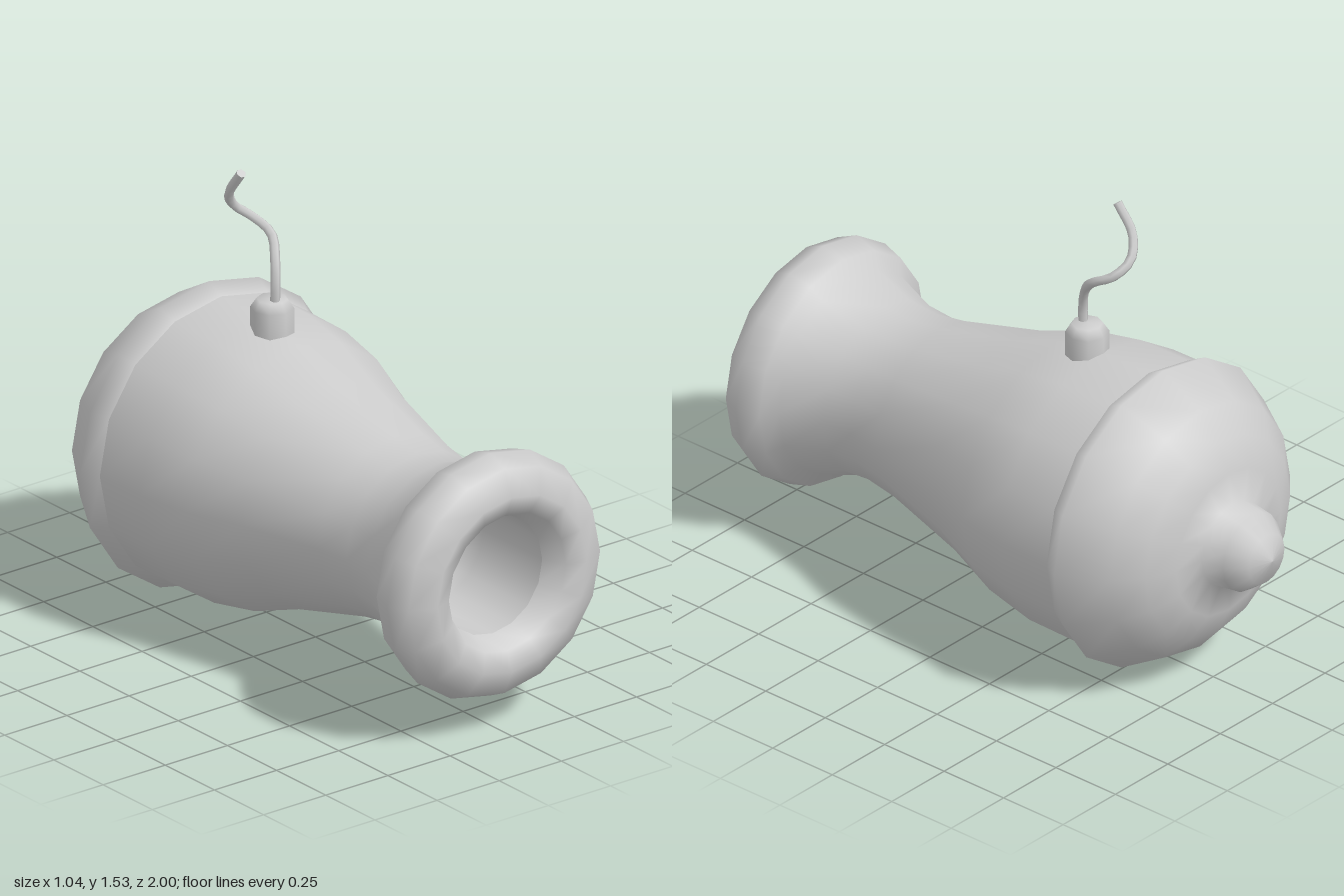
import * as THREE from 'three';

const AXIS_Y = 0.52;
const material = new THREE.MeshStandardMaterial({ color: 0xcccccc });

function addMesh(parent, name, geometry) {
  const mesh = new THREE.Mesh(geometry, material);
  mesh.name = name;
  parent.add(mesh);
  return mesh;
}

// Revolve [radius, z] pairs around the barrel's axis.
function addTurned(parent, name, profile) {
  const points = profile.map(([r, z]) => new THREE.Vector2(r, z));
  const geometry = new THREE.LatheGeometry(points, 16).rotateX(Math.PI / 2);
  addMesh(parent, name, geometry).position.y = AXIS_Y;
}

export function createModel() {
  const model = new THREE.Group();
  model.name = 'cannon';

  // Rounded breech with its knob at the back
  addTurned(model, 'breech', [
    [0, -1], [0.085, -0.975], [0.135, -0.91], [0.145, -0.83], [0.25, -0.815],
    [0.345, -0.77], [0.43, -0.695], [0.52, -0.54], [0.488, -0.48],
  ]);

  // Tapered barrel flowing into the rolled muzzle
  addTurned(model, 'barrel', [
    [0.488, -0.48], [0.485, -0.28], [0.45, -0.09], [0.38, 0.1], [0.305, 0.4],
    [0.288, 0.52], [0.295, 0.63], [0.343, 0.775], [0.395, 0.81], [0.417, 0.89],
    [0.385, 0.96], [0.3, 1], [0.235, 0.975], [0.2, 0.9],
  ]);

  // Hollow bore with a rounded end
  addTurned(model, 'bore', [
    [0.2, 0.9], [0.2, 0.6], [0.18, 0.5], [0.11, 0.42], [0, 0.39],
  ]);

  // Fuse holder on top
  const holder = new THREE.LatheGeometry([
    [0.07, 0.96], [0.07, 1.06], [0.05, 1.09], [0, 1.092],
  ].map(([r, y]) => new THREE.Vector2(r, y)), 8);
  addMesh(model, 'fuseHolder', holder).position.z = -0.22;

  // Curling fuse, closed at its tip
  const path = new THREE.CatmullRomCurve3([
    [-0.005, 1.06, -0.2], [-0.003, 1.14, -0.2], [0.012, 1.21, -0.22],
    [0.044, 1.28, -0.28], [0.025, 1.32, -0.35], [-0.03, 1.365, -0.375],
    [-0.075, 1.43, -0.345], [-0.077, 1.52, -0.28],
  ].map((p) => new THREE.Vector3(...p)));
  addMesh(model, 'fuse', new THREE.TubeGeometry(path, 20, 0.016, 6));

  const tip = addMesh(model, 'fuseTip', new THREE.CircleGeometry(0.016, 6));
  tip.position.copy(path.getPoint(1));
  tip.quaternion.setFromUnitVectors(new THREE.Vector3(0, 0, 1), path.getTangent(1));

  return model;
}
